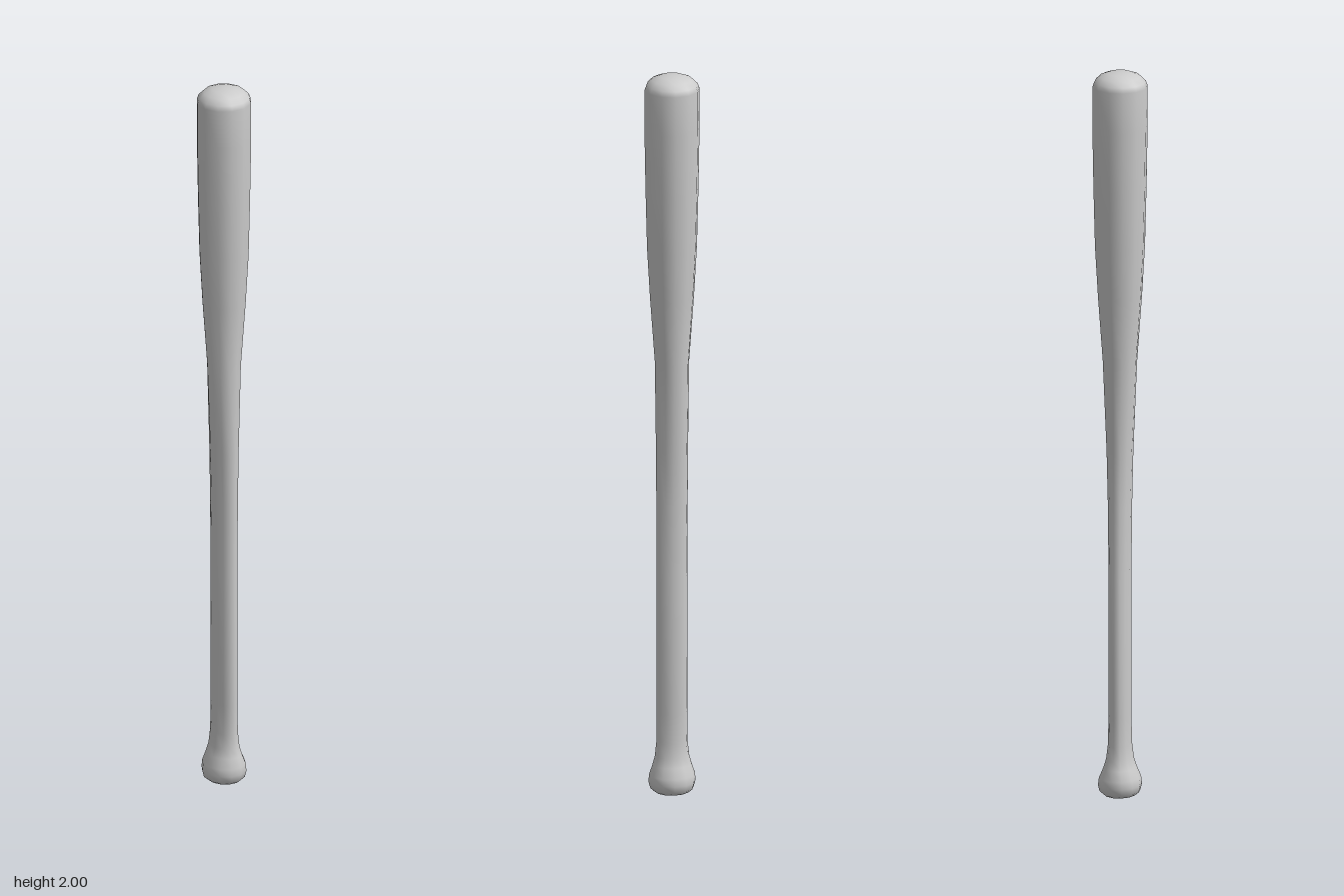
import * as THREE from 'three';
import { mergeVertices } from 'three/addons/utils/BufferGeometryUtils.js';

// Cross-sections from knob to tip: [height, half width in x, half width in z]
const RINGS = [
  [0.004, 0, 0],
  [0, 0.042, 0.046],
  [0.01, 0.054, 0.058],
  [0.028, 0.058, 0.063],
  [0.048, 0.055, 0.062],
  [0.075, 0.043, 0.053],
  [0.1, 0.035, 0.046],
  [0.14, 0.03, 0.042],
  [0.22, 0.028, 0.041],
  [0.6, 0.028, 0.041],
  [0.8, 0.03, 0.042],
  [0.95, 0.034, 0.043],
  [1.2, 0.046, 0.046],
  [1.38, 0.059, 0.059],
  [1.52, 0.067, 0.067],
  [1.68, 0.071, 0.071],
  [1.85, 0.074, 0.074],
  [1.96, 0.074, 0.074],
  [1.974, 0.069, 0.069],
  [1.988, 0.055, 0.055],
  [1.997, 0.032, 0.032],
  [2, 0, 0],
];

export function createModel() {
  const group = new THREE.Group();
  group.name = 'bat';

  // Twelve-sided turned body, flattened in x along the handle
  const profile = RINGS.map(([y, , rz]) => new THREE.Vector2(rz, y));
  let geometry = new THREE.LatheGeometry(profile, 12);
  const pos = geometry.attributes.position;
  for (let i = 0; i < pos.count; i++) {
    const [, rx, rz] = RINGS[i % RINGS.length];
    if (rz > 0) pos.setX(i, pos.getX(i) * rx / rz);
  }

  // Weld the seam so the shading is smooth all round
  geometry.deleteAttribute('uv');
  geometry.deleteAttribute('normal');
  geometry = mergeVertices(geometry, 1e-5);
  geometry.computeVertexNormals();

  const body = new THREE.Mesh(geometry, new THREE.MeshStandardMaterial({ color: 0xcccccc }));
  body.name = 'batBody';
  group.add(body);
  return group;
}
